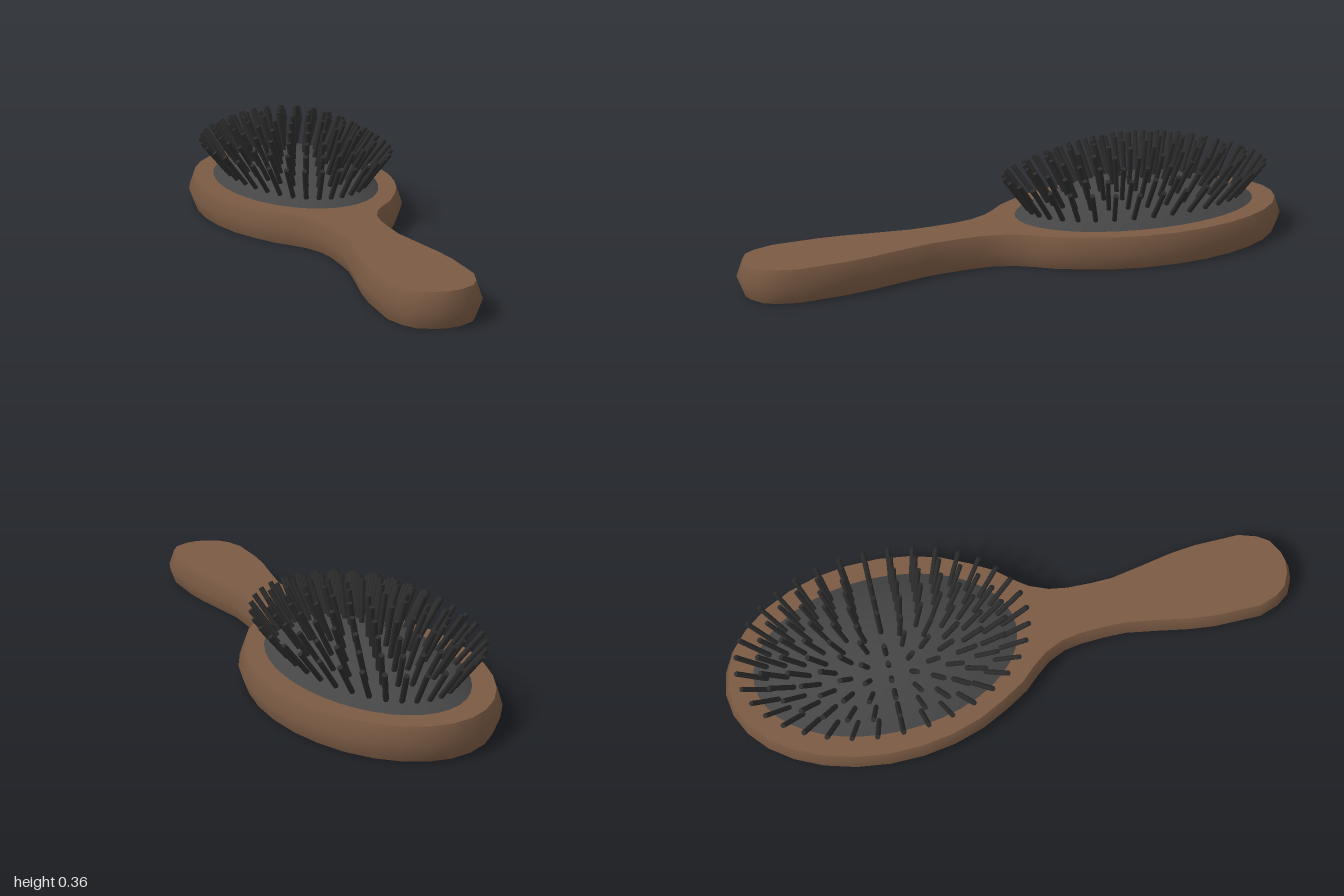
import * as THREE from 'three';

const wood = new THREE.MeshStandardMaterial({ color: 0x7b5b44 });
wood.name = 'brownWood';
const rubber = new THREE.MeshStandardMaterial({ color: 0x454545 });
rubber.name = 'greyRubber';
const nylon = new THREE.MeshStandardMaterial({ color: 0x2c2c2c });
nylon.name = 'blackNylon';

const CENTER_Z = -0.44;

// Closed outline of the brush as seen from above: [x, z]
function makeOutline() {
  const half = [];
  for (let deg = 0; deg <= 132; deg += 12) {
    const a = THREE.MathUtils.degToRad(deg);
    half.push([0.368 * Math.sin(a), -0.45 - 0.55 * Math.cos(a)]);
  }
  half.push([0.225, 0], [0.18, 0.05], [0.142, 0.1], [0.116, 0.16], [0.106, 0.22], [0.103, 0.3],
    [0.104, 0.38], [0.125, 0.5], [0.144, 0.6], [0.154, 0.69], [0.155, 0.85], [0.132, 0.92],
    [0.1, 0.965], [0.045, 0.993], [0, 1]);
  const mirrored = half.slice(1, -1).reverse().map(([x, z]) => [-x, z]);
  return [...half, ...mirrored];
}

// Moves the outline inwards by d
function inset(outline, d) {
  const n = outline.length;
  return outline.map(([x, z], i) => {
    const p = outline[(i + n - 1) % n], q = outline[(i + 1) % n];
    const tx = q[0] - p[0], tz = q[1] - p[1], len = Math.hypot(tx, tz);
    return [x - (d * tz) / len, z + (d * tx) / len];
  });
}

// Smooth side wall through stacked outlines
function makeWall(rings) {
  const n = rings[0].points.length, positions = [], index = [];
  for (const { y, points } of rings) for (const [x, z] of points) positions.push(x, y, z);
  for (let r = 0; r < rings.length - 1; r++) {
    for (let i = 0; i < n; i++) {
      const a = r * n + i, b = r * n + ((i + 1) % n);
      index.push(a, a + n, b, b, a + n, b + n);
    }
  }
  const geo = new THREE.BufferGeometry();
  geo.setAttribute('position', new THREE.Float32BufferAttribute(positions, 3));
  geo.setIndex(index);
  geo.computeVertexNormals();
  return geo;
}

// Flat face, up = 1 for the top and -1 for the underside
function makeFace(points, y, up) {
  const shape = new THREE.Shape(points.map(([x, z]) => new THREE.Vector2(x, -up * z)));
  return new THREE.ShapeGeometry(shape).rotateX((-up * Math.PI) / 2).translate(0, y, 0);
}

function addMesh(parent, name, geometry, material) {
  const mesh = new THREE.Mesh(geometry, material);
  mesh.name = name;
  parent.add(mesh);
  return mesh;
}

// Height of the cushion surface at relative radius s
const cushionHeight = (s) => 0.11 + 0.11 * (1 - s * s);

export function createModel() {
  const model = new THREE.Group();
  model.name = 'hairbrush';

  // Wooden head and handle in one piece
  const body = new THREE.Group();
  body.name = 'woodenBody';
  const outline = makeOutline();
  const inner = inset(outline, 0.02);
  addMesh(body, 'bodySide', makeWall([
    { y: 0, points: inner }, { y: 0.055, points: outline }, { y: 0.11, points: inner },
  ]), wood);
  addMesh(body, 'bodyTop', makeFace(inner, 0.11, 1), wood);
  addMesh(body, 'bodyUnderside', makeFace(inner, 0, -1), wood);
  model.add(body);

  // Domed oval cushion
  const profile = [];
  for (let i = 0; i <= 10; i++) {
    const s = 1 - i / 10;
    profile.push(new THREE.Vector2(s, cushionHeight(s)));
  }
  const cushion = addMesh(model, 'cushion', new THREE.LatheGeometry(profile, 40), rubber);
  cushion.scale.set(0.28, 1, 0.455);
  cushion.position.z = CENTER_Z;

  // Bristles in oval rings, leaning outwards towards the rim
  const bristles = new THREE.Group();
  bristles.name = 'bristles';
  const length = 0.15;
  const bristleGeo = new THREE.CylinderGeometry(0.009, 0.009, length, 6).translate(0, length / 2 - 0.01, 0);
  const up = new THREE.Vector3(0, 1, 0);
  const ringCount = 6;
  for (let ring = 1; ring <= ringCount; ring++) {
    const t = ring / ringCount, count = ring * 6;
    for (let i = 0; i < count; i++) {
      const a = (i / count) * Math.PI * 2;
      const u = t * Math.cos(a), w = t * Math.sin(a);
      const bristle = addMesh(bristles, 'bristle', bristleGeo, nylon);
      bristle.position.set(0.237 * u, cushionHeight(0.87 * t), CENTER_Z + 0.41 * w);
      const lean = new THREE.Vector3(0.82 * u, 1, 0.75 * w).normalize();
      bristle.quaternion.setFromUnitVectors(up, lean);
    }
  }
  model.add(bristles);

  return model;
}
